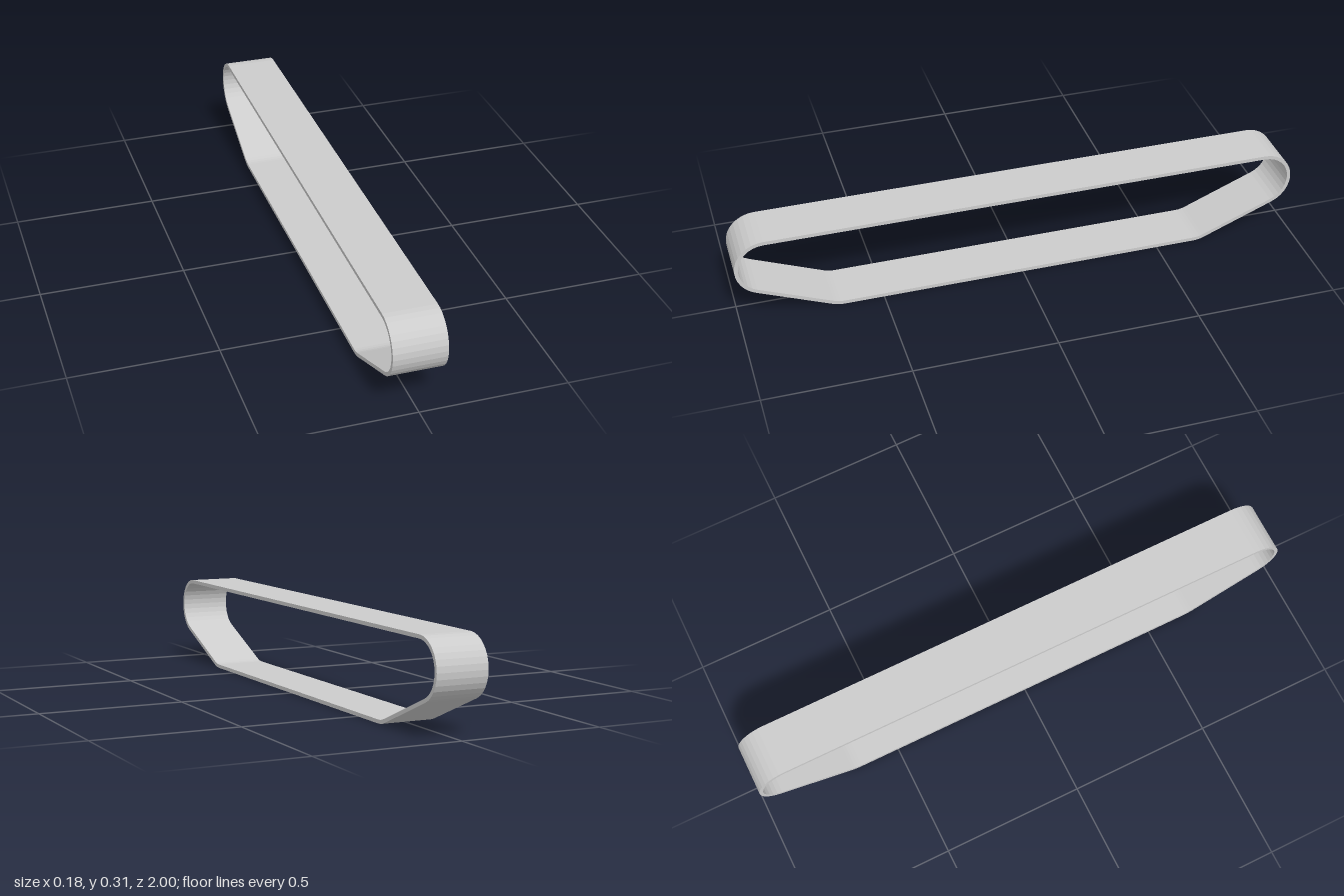
import * as THREE from 'three';

const R = 0.105;         // outer radius of every bend
const THICK = 0.013;     // band thickness
const WIDTH = 0.18;
const END = [0.895, 0.21];    // centre of the end bends
const LOWER = [0.64, 0.105];  // centre of the lower bends
const SLOPE = Math.atan2(END[1] - LOWER[1], END[0] - LOWER[0]);

// Side outline: a belt stretched round four round bends
function beltOutline(r) {
  const half = [];
  const bend = ([cx, cy], from, to, steps) => {
    for (let i = 0; i <= steps; i++) {
      const a = from + (to - from) * i / steps;
      half.push(new THREE.Vector2(cx + r * Math.cos(a), cy + r * Math.sin(a)));
    }
  };
  bend(LOWER, -Math.PI / 2, -Math.PI / 2 + SLOPE, 3);
  bend(END, -Math.PI / 2 + SLOPE, Math.PI / 2, 14);
  const mirrored = half.map(p => new THREE.Vector2(-p.x, p.y)).reverse();
  return [...half, ...mirrored];
}

export function createModel() {
  const group = new THREE.Group();
  group.name = 'track';

  // Closed band, extruded across its width
  const shape = new THREE.Shape(beltOutline(R));
  shape.holes.push(new THREE.Path(beltOutline(R - THICK).reverse()));
  const geometry = new THREE.ExtrudeGeometry(shape, { depth: WIDTH, bevelEnabled: false });
  geometry.translate(0, 0, -WIDTH / 2);
  geometry.rotateY(-Math.PI / 2);

  const band = new THREE.Mesh(geometry, new THREE.MeshStandardMaterial({ color: 0xcccccc, flatShading: true }));
  band.name = 'trackBand';
  group.add(band);
  return group;
}
